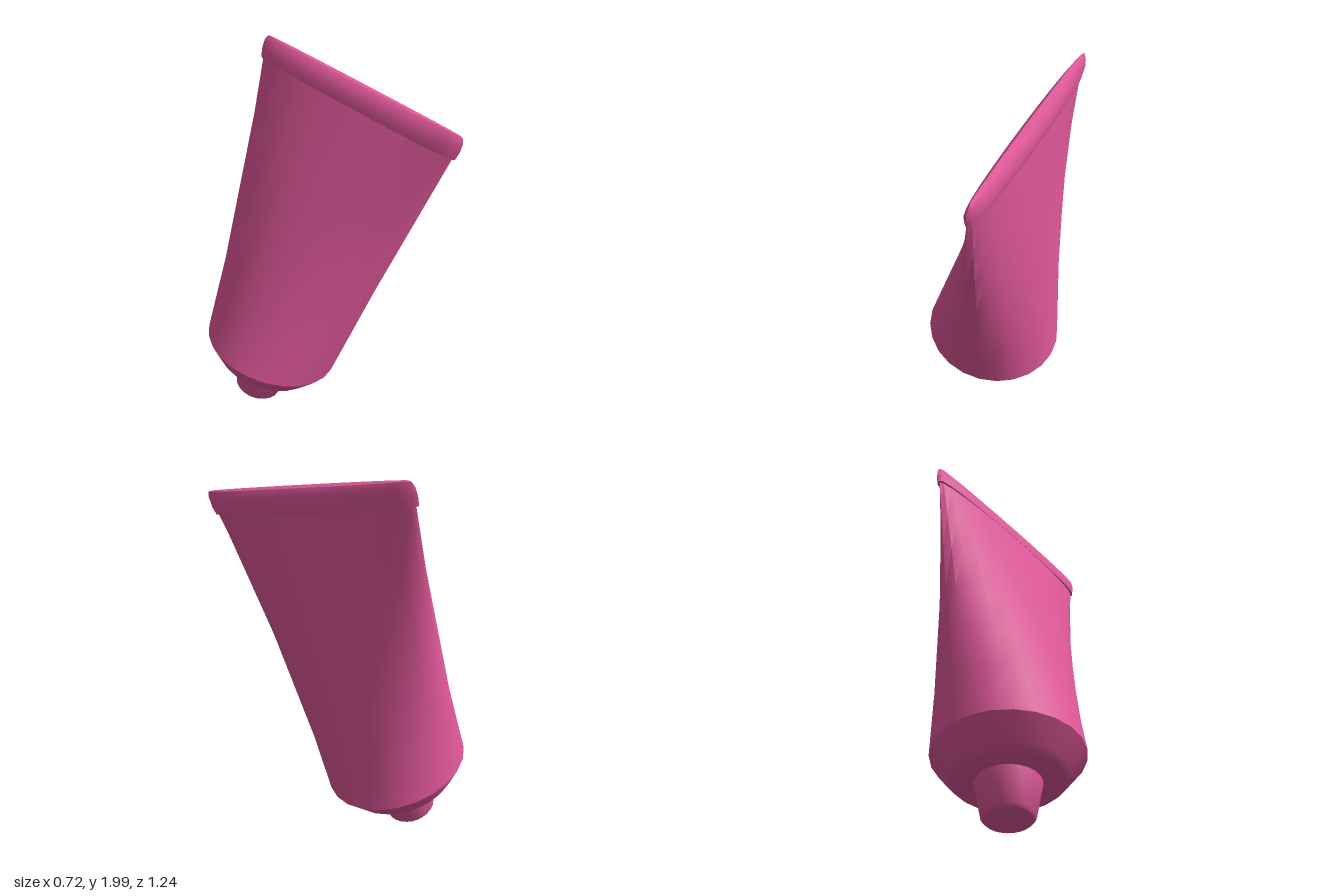
import * as THREE from 'three';
import { toCreasedNormals } from 'three/addons/utils/BufferGeometryUtils.js';

const SIDES = 24;
const material = new THREE.MeshStandardMaterial({ color: 0xe0589a });

// Skin through stacked oval rings, each [y, half x, half z]; power < 1 makes the ends blunter
function loft(rings, power = 1) {
  const positions = [], index = [];
  rings.forEach(([y, hx, hz]) => {
    for (let i = 0; i < SIDES; i++) {
      const a = (i / SIDES) * Math.PI * 2;
      const c = Math.cos(a);
      positions.push(Math.sign(c) * Math.abs(c) ** power * hx, y, Math.sin(a) * hz);
    }
  });
  for (let r = 0; r < rings.length - 1; r++) {
    for (let i = 0; i < SIDES; i++) {
      const j = (i + 1) % SIDES;
      const a = r * SIDES + i, b = r * SIDES + j;
      const c = a + SIDES, d = b + SIDES;
      index.push(a, c, b, b, c, d);
    }
  }
  const geometry = new THREE.BufferGeometry();
  geometry.setAttribute('position', new THREE.Float32BufferAttribute(positions, 3));
  geometry.setIndex(index);
  return geometry;
}

const lathe = (points) =>
  new THREE.LatheGeometry(points.map(([r, y]) => new THREE.Vector2(r, y)), SIDES);

export function createModel() {
  const model = new THREE.Group();
  model.name = 'squeezeTube';
  const tube = new THREE.Group();
  tube.name = 'tiltedTube';
  model.add(tube);

  const add = (name, geometry, crease) => {
    const mesh = new THREE.Mesh(toCreasedNormals(geometry, crease), material);
    mesh.name = name;
    tube.add(mesh);
  };

  // Body: round at the shoulder, flattening straight into the seam
  const bodyRings = [];
  for (let i = 0; i <= 6; i++) {
    const t = i / 6;
    bodyRings.push([
      1.5 * t,
      THREE.MathUtils.lerp(0.365, 0.042, t),
      THREE.MathUtils.lerp(0.365, 0.56, t),
    ]);
  }
  add('body', loft(bodyRings), 0.6);

  // Crimped seam: a thin lens-shaped band closing the wide end
  add('seam', loft([
    [1.485, 0, 0],
    [1.485, 0.046, 0.572],
    [1.53, 0.05, 0.58],
    [1.57, 0.037, 0.578],
    [1.592, 0.024, 0.57],
    [1.6, 0.017, 0.56],
    [1.6, 0, 0],
  ], 0.65), 0.7);

  // Shoulder: rounded cone from the rim down to the neck
  add('shoulder', lathe([
    [0.1, -0.14], [0.235, -0.14], [0.262, -0.128], [0.285, -0.105], [0.365, 0],
  ]), 0.7);

  // Cap: tapered stub with a softened lower edge
  add('cap', lathe([
    [0, -0.326], [0.112, -0.326], [0.125, -0.312], [0.158, -0.135],
  ]), 0.7);

  // The whole tube leans to one side and forward
  tube.rotation.set(0.2094, 0, -0.2094);
  tube.position.set(-0.008, 0.35, -0.266);
  return model;
}
